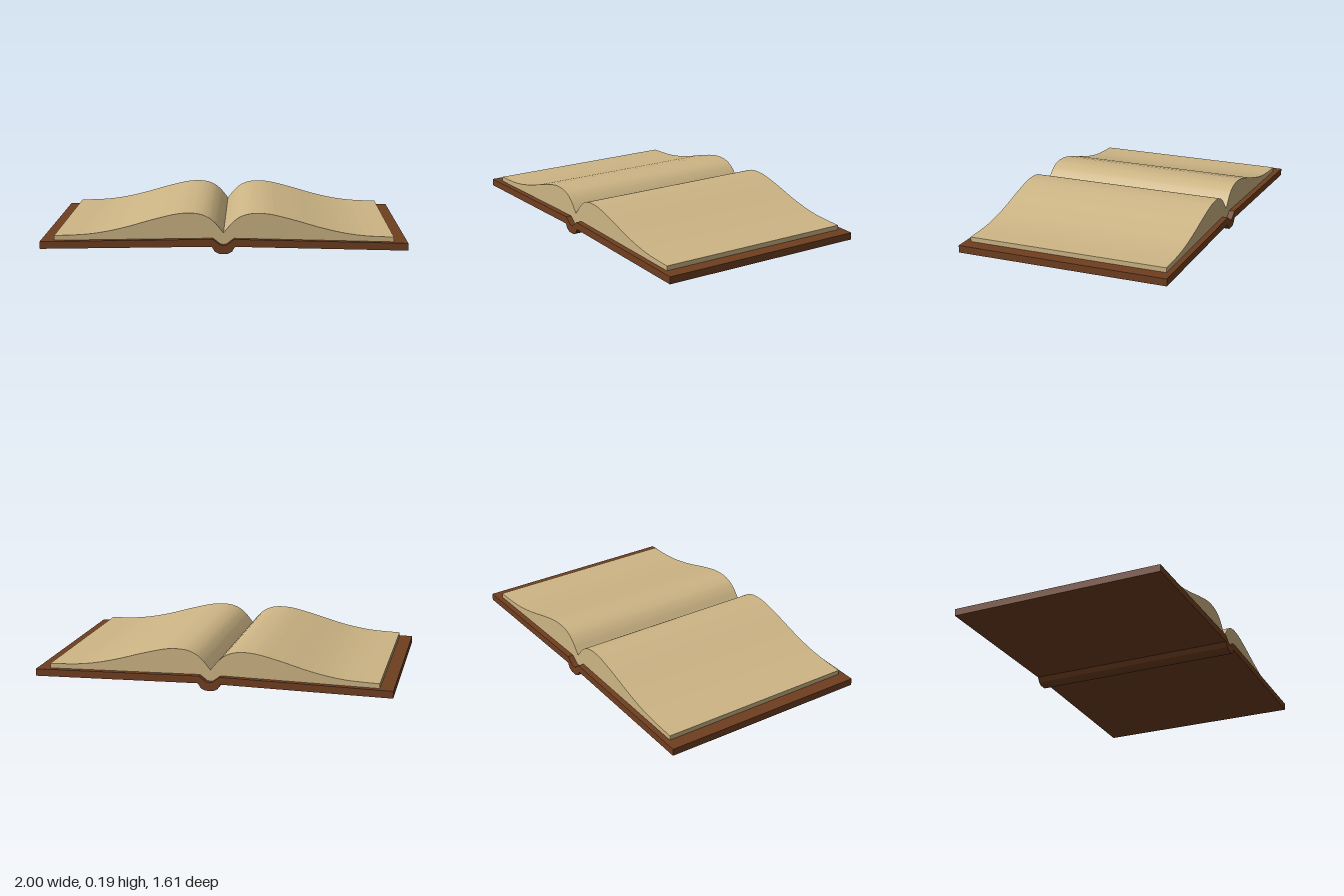
import * as THREE from 'three';

const v = (x, y) => new THREE.Vector2(x, y);

// Extrude a left-right symmetric profile along z. Both halves run from the centre outwards.
function symmetricSlab(name, top, bottom, depth, color) {
  const right = [...top, ...[...bottom].reverse()];
  const left = right.slice(1, -1).reverse().map(p => v(-p.x, p.y));
  const geometry = new THREE.ExtrudeGeometry(new THREE.Shape([...right, ...left]), {
    depth, bevelEnabled: false, steps: 1,
  });
  geometry.translate(0, 0, -depth / 2);
  const mesh = new THREE.Mesh(geometry, new THREE.MeshStandardMaterial({ color }));
  mesh.name = name;
  return mesh;
}

export function createModel() {
  const book = new THREE.Group();
  book.name = 'openBook';

  // Cover: two slightly tilted boards joined by a sunken spine
  const coverTop = [v(0, 0.04), v(0.015, 0.043), v(0.05, 0.07), v(0.868, 0.055)];
  const coverBottom = [v(0, 0), v(0.02, 0), v(0.04, 0.01), v(0.055, 0.034), v(0.868, 0.02)];
  book.add(symmetricSlab('cover', coverTop, coverBottom, 1.045, 0x6f3f20));

  // Pages: steep rise out of the gutter, then a long sweep down to the fore edge
  const pageTop = new THREE.SplineCurve([
    v(0, 0.095), v(0.02, 0.12), v(0.042, 0.145), v(0.074, 0.17), v(0.117, 0.186),
    v(0.17, 0.19), v(0.235, 0.183), v(0.343, 0.156), v(0.45, 0.125), v(0.557, 0.1),
    v(0.665, 0.085), v(0.803, 0.079),
  ]).getPoints(33);
  const pageBottom = [...coverTop.slice(0, 3), v(0.803, 0.056)];
  book.add(symmetricSlab('pages', pageTop, pageBottom, 0.99, 0xcdb585));

  // The book lies turned on its base
  book.rotation.y = 0.373;

  const model = new THREE.Group();
  model.add(book);
  return model;
}
